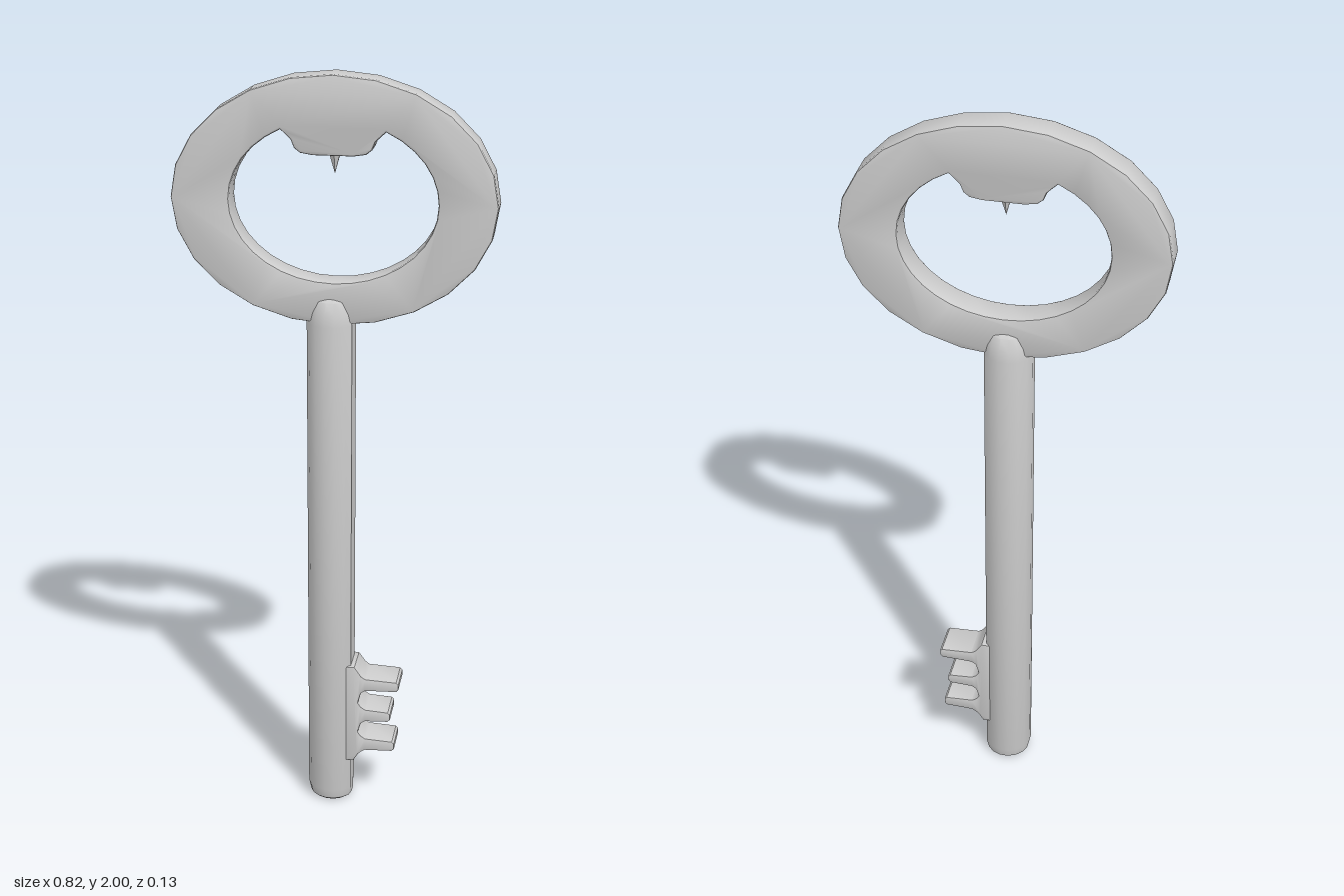
import * as THREE from 'three';
import { toCreasedNormals } from 'three/addons/utils/BufferGeometryUtils.js';

export function createModel() {
  const key = new THREE.Group();
  key.name = 'key';
  const grey = new THREE.MeshStandardMaterial({ color: 0xcccccc });

  function add(name, geometry, crease = 0.6) {
    const mesh = new THREE.Mesh(toCreasedNormals(geometry, crease), grey);
    mesh.name = name;
    key.add(mesh);
    return mesh;
  }

  // Extrudes a shape to a total depth, centred on z, with bevels kept inside the outline
  function slab(shape, depth, bevel) {
    const g = new THREE.ExtrudeGeometry(shape, {
      depth: depth - 2 * bevel, bevelThickness: bevel, bevelSize: bevel,
      bevelOffset: -bevel, bevelSegments: 2, curveSegments: 4,
    });
    return g.translate(0, 0, -depth / 2 + bevel);
  }

  function arc(rx, ry, from, to, steps) {
    return Array.from({ length: steps + 1 }, (_, i) => {
      const a = THREE.MathUtils.degToRad(from + (to - from) * i / steps);
      return new THREE.Vector2(rx * Math.cos(a), 1.685 + ry * Math.sin(a));
    });
  }

  // Oval bow; the opening has an opener lip hanging from its top
  const bow = new THREE.Shape(arc(0.41, 0.315, 0, 345, 23));
  const lip = [[0.118, 1.851], [0.105, 1.838], [0.097, 1.818], [0.082, 1.806], [0.05, 1.801]];
  const lipRight = lip.map(([x, y]) => new THREE.Vector2(x, y));
  const lipLeft = lip.map(([x, y]) => new THREE.Vector2(-x, y)).reverse();
  bow.holes.push(new THREE.Path([...arc(0.262, 0.205, 120, 420, 30), ...lipRight, ...lipLeft]));
  add('bow', slab(bow, 0.078, 0.007));

  // Small spike under the lip
  const spike = add('lipSpike', new THREE.ConeGeometry(0.018, 0.06, 6));
  spike.rotation.x = Math.PI;
  spike.position.y = 1.78;

  // Round shaft with rounded ends, flattened on the side that carries the bit
  const profile = [[0, 0], [0.05, 0], [0.06, 0.008], [0.066, 0.035], [0.066, 1.37],
    [0.061, 1.4], [0.05, 1.43], [0.036, 1.44], [0, 1.44]];
  const shaft = new THREE.LatheGeometry(
    profile.map(([r, y]) => new THREE.Vector2(r, y)), 16, Math.PI / 16);
  const p = shaft.attributes.position;
  for (let i = 0; i < p.count; i++) p.setX(i, Math.min(p.getX(i), 0.055));
  add('shaft', shaft).position.x = -0.006;

  // Bit: a backing strip with three tapered teeth, drawn as one outline
  const bit = new THREE.Shape();
  bit.moveTo(0.03, 0.125);
  bit.lineTo(0.058, 0.125);
  bit.lineTo(0.07, 0.145);
  for (const [y, tip] of [[0.178, 0.17], [0.267, 0.158], [0.36, 0.18]]) {
    bit.lineTo(0.078, y - 0.026);
    bit.lineTo(0.09, y - 0.018);
    bit.lineTo(tip - 0.006, y - 0.015);
    bit.lineTo(tip, y - 0.008);
    bit.lineTo(tip, y + 0.008);
    bit.lineTo(tip - 0.006, y + 0.014);
    bit.lineTo(0.09, y + 0.018);
    bit.lineTo(0.078, y + 0.026);
    bit.lineTo(0.07, y + 0.038);
  }
  bit.lineTo(0.06, 0.412);
  bit.lineTo(0.03, 0.412);
  add('bit', slab(bit, 0.096, 0.004));

  return key;
}
